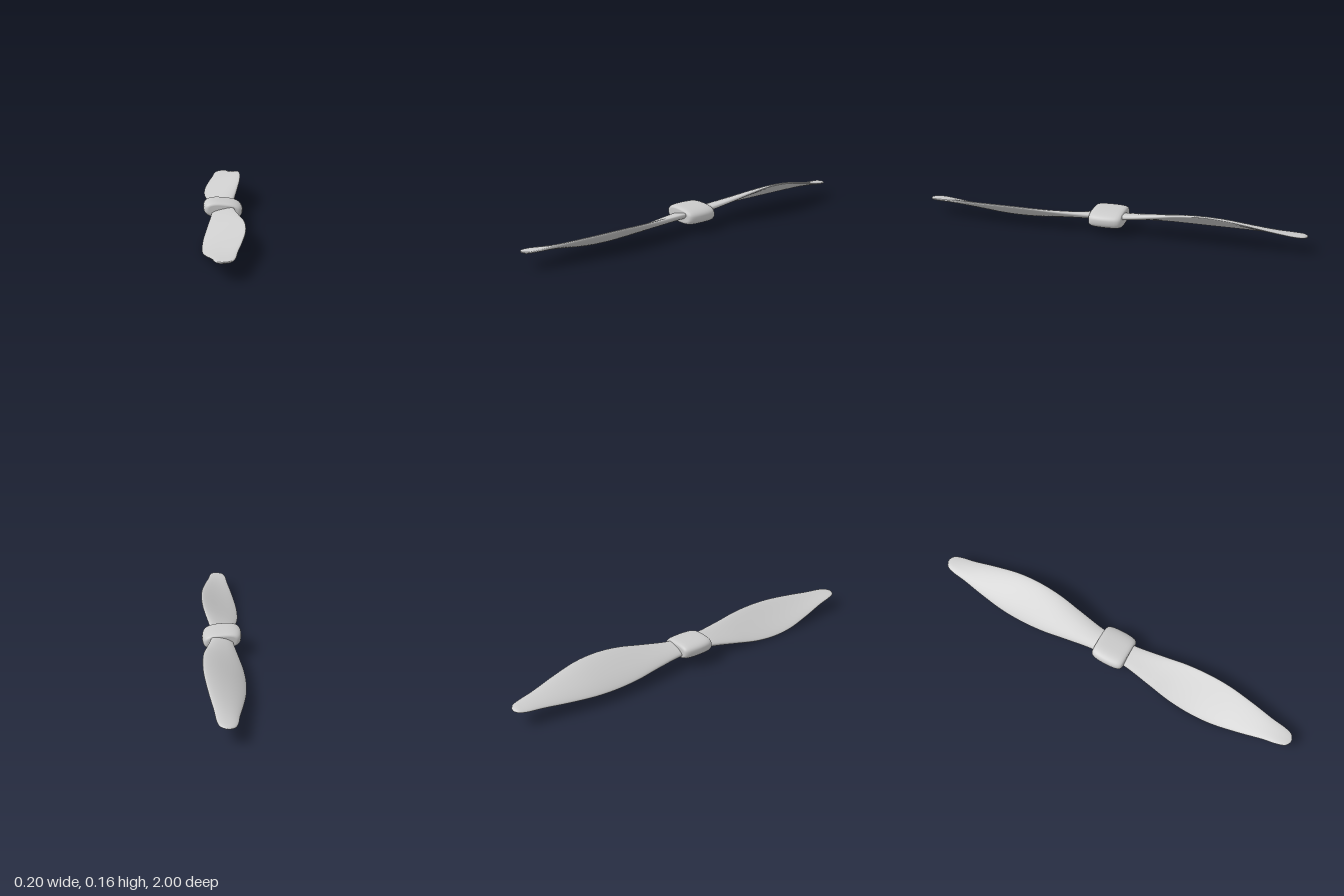
import * as THREE from 'three';

const AXIS_Y = 0.09;
const SIDES = 40;

// Rounded outline exponent: 1 is an ellipse, smaller is boxier
const soft = (v, e) => Math.sign(v) * Math.abs(v) ** e;

// Skin a list of counter-clockwise rings running towards +z, closing both ends
function loft(rings) {
  const pos = [], index = [];
  rings.forEach(ring => ring.forEach(p => pos.push(p.x, p.y, p.z)));
  for (let i = 0; i < rings.length - 1; i++) {
    for (let j = 0; j < SIDES; j++) {
      const k = (j + 1) % SIDES;
      const a = i * SIDES + j, b = i * SIDES + k;
      index.push(a, b, a + SIDES, b, b + SIDES, a + SIDES);
    }
  }
  [0, rings.length - 1].forEach((r, end) => {
    const c = new THREE.Vector3();
    rings[r].forEach(p => c.addScaledVector(p, 1 / SIDES));
    const centre = pos.length / 3;
    pos.push(c.x, c.y, c.z);
    for (let j = 0; j < SIDES; j++) {
      const a = r * SIDES + j, b = r * SIDES + (j + 1) % SIDES;
      index.push(centre, ...(end ? [a, b] : [b, a]));
    }
  });
  const g = new THREE.BufferGeometry();
  g.setAttribute('position', new THREE.Float32BufferAttribute(pos, 3));
  g.setIndex(index);
  g.computeVertexNormals();
  return g;
}

// Twisted blade: z, half width, height of the two edges, half thickness
function bladeRings() {
  const stations = [
    [0.03, 0.055, -0.012, 0.012, 0.018],
    [0.10, 0.058, -0.018, 0.011, 0.017],
    [0.25, 0.078, -0.045, 0.017, 0.015],
    [0.37, 0.094, -0.067, 0.025, 0.013],
    [0.49, 0.100, -0.077, 0.029, 0.012],
    [0.61, 0.096, -0.071, 0.027, 0.012],
    [0.75, 0.077, -0.046, 0.019, 0.011],
    [0.87, 0.056, -0.021, 0.010, 0.010],
    [0.95, 0.045, -0.008, 0.005, 0.009],
    [0.985, 0.032, -0.004, 0.002, 0.007],
    [1.0, 0.010, -0.001, 0.001, 0.003],
  ];
  const curve = f => new THREE.CatmullRomCurve3(stations.map(f));
  const left = curve(([z, w, l]) => new THREE.Vector3(-w, l, z));
  const right = curve(([z, w, , r]) => new THREE.Vector3(w, r, z));
  const thick = curve(([z, , , , t]) => new THREE.Vector3(t, 0, z));
  const rings = [];
  const steps = 60;
  for (let i = 0; i <= steps; i++) {
    const a = left.getPoint(i / steps), b = right.getPoint(i / steps);
    const t = thick.getPoint(i / steps).x;
    const mid = a.clone().add(b).multiplyScalar(0.5);
    const half = b.clone().sub(a).multiplyScalar(0.5);
    const normal = new THREE.Vector3(-half.y, half.x, 0).normalize();
    const ring = [];
    for (let j = 0; j < SIDES; j++) {
      const ang = j / SIDES * Math.PI * 2;
      const u = soft(Math.cos(ang), 0.85);
      const camber = -0.05 * half.length() * (1 - u * u);
      ring.push(mid.clone().addScaledVector(half, u)
        .addScaledVector(normal, t * soft(Math.sin(ang), 0.75) + camber));
    }
    rings.push(ring);
  }
  return rings;
}

// Squashed barrel: z, half width, half height
function hubRings() {
  const end = [[0, 0.1, 0.042], [0.03, 0.099, 0.042], [0.055, 0.096, 0.0415],
    [0.07, 0.092, 0.040], [0.08, 0.086, 0.037], [0.085, 0.079, 0.032], [0.086, 0.07, 0.027]];
  const back = end.slice(1).reverse().map(([z, w, h]) => [-z, w, h]);
  return [...back, ...end].map(([z, w, h]) => Array.from({ length: SIDES }, (_, j) => {
    const a = j / SIDES * Math.PI * 2;
    const x = w * soft(Math.cos(a), 0.75);
    return new THREE.Vector3(x, h * soft(Math.sin(a), 0.75) - 0.08 * x, z);
  }));
}

export function createModel() {
  const model = new THREE.Group();
  model.name = 'propeller';
  const material = new THREE.MeshStandardMaterial({ color: 0xcccccc });
  const add = (name, rings) => {
    const mesh = new THREE.Mesh(loft(rings), material);
    mesh.name = name;
    mesh.position.y = AXIS_Y;
    model.add(mesh);
  };

  add('hub', hubRings());

  // The rear blade is the front one reflected through the hub centre
  const rings = bladeRings();
  add('frontBlade', rings);
  add('rearBlade', rings.map(r => r.map(p => p.clone().negate())).reverse());

  return model;
}
